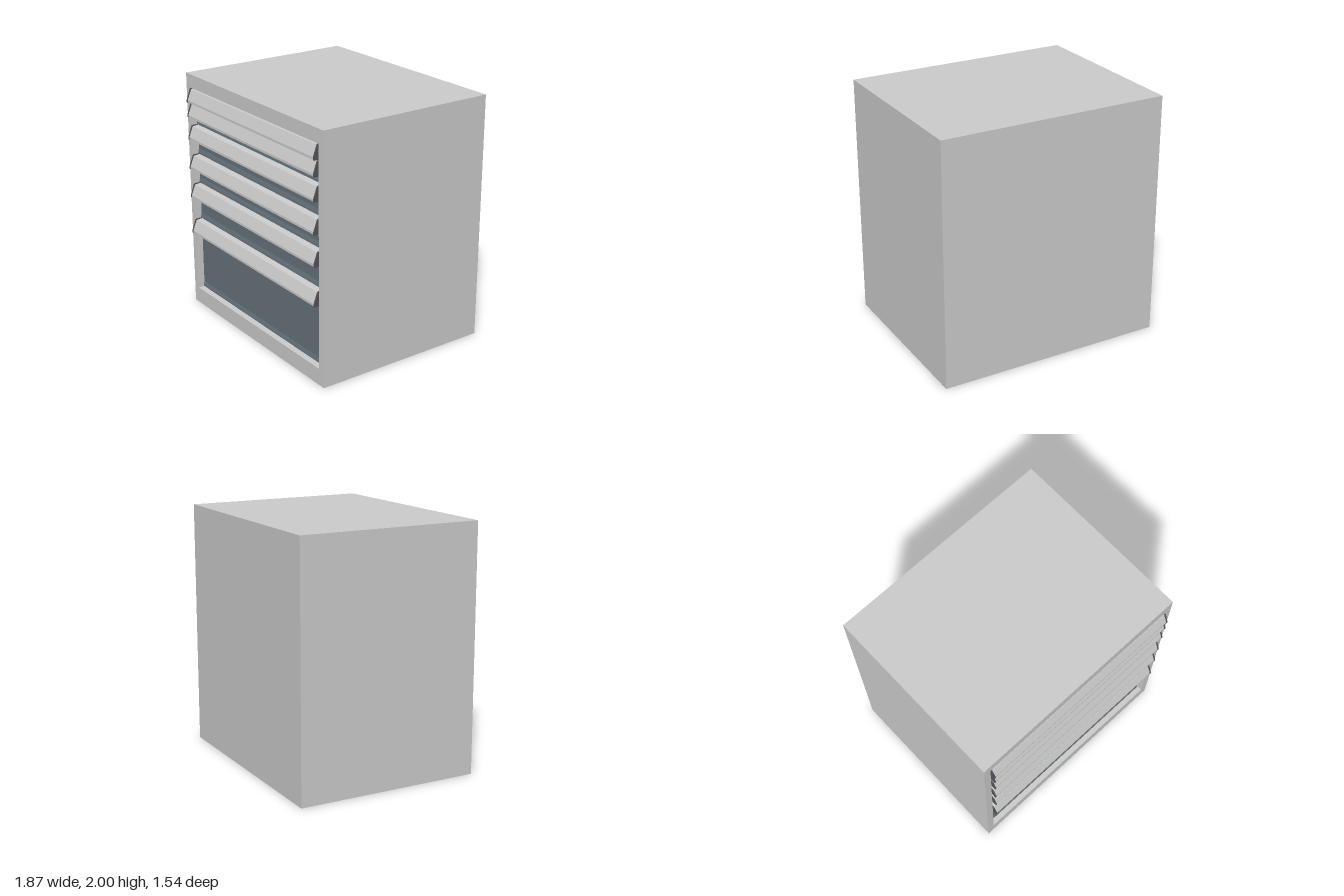
import * as THREE from 'three';

const mat = (color) => new THREE.MeshStandardMaterial({ color, flatShading: true });
const bodyMat = mat(0xcccccc);
const drawerMat = mat(0x66727b);
const pullMat = mat(0xdedede);
const capMat = mat(0x55555a);

// Extrudes a [z, y] profile along x, centred on the given x
function extrudeX(points, width, x = 0) {
  const shape = new THREE.Shape(points.map(([z, y]) => new THREE.Vector2(z, y)));
  const geo = new THREE.ExtrudeGeometry(shape, { depth: width, bevelEnabled: false });
  geo.rotateY(-Math.PI / 2);
  geo.translate(x + width / 2, 0, 0);
  return geo;
}

function add(parent, name, geometry, material) {
  const mesh = new THREE.Mesh(geometry, material);
  mesh.name = name;
  parent.add(mesh);
  return mesh;
}

function rectangle(Type, x0, y0, x1, y1) {
  const r = new Type();
  r.moveTo(x0, y0);
  r.lineTo(x1, y0);
  r.lineTo(x1, y1);
  r.lineTo(x0, y1);
  r.closePath();
  return r;
}

export function createModel() {
  const cabinet = new THREE.Group();
  cabinet.name = 'drawerCabinet';

  const halfW = 0.935, back = -0.77, front = 0.73, face = 0.68, recess = 0.66;

  // Solid cabinet body behind the drawers
  const core = new THREE.BoxGeometry(halfW * 2, 2, recess - back);
  add(cabinet, 'cabinetBody', core, bodyMat).position.set(0, 1, (recess + back) / 2);

  // Front frame around the recessed drawer opening
  const frame = rectangle(THREE.Shape, -halfW, 0, halfW, 2);
  frame.holes.push(rectangle(THREE.Path, -0.875, 0.135, 0.875, 1.89));
  const frameGeo = new THREE.ExtrudeGeometry(frame, { depth: front - recess, bevelEnabled: false });
  add(cabinet, 'frontFrame', frameGeo, bodyMat).position.z = recess;

  // Bent sheet pull, open underneath, and the solid outline of its end caps
  const pullProfile = [
    [face, 0.113], [0.732, 0.107], [0.766, 0.022], [0.766, 0.004],
    [0.758, 0.004], [0.758, 0.02], [0.727, 0.098], [face, 0.104],
  ];
  const capProfile = [
    [face, 0.117], [0.732, 0.117], [0.738, 0.112], [0.77, 0.024],
    [0.77, 0.004], [0.766, 0], [face, 0],
  ];

  // Drawers from top to bottom: [bottom, top]
  const drawers = [
    [1.78, 1.885], [1.585, 1.762], [1.335, 1.575],
    [1.085, 1.325], [0.772, 1.075], [0.145, 0.762],
  ];
  drawers.forEach(([y0, y1]) => {
    const drawer = new THREE.Group();
    drawer.name = 'drawer';
    cabinet.add(drawer);

    // Front panel with a slightly flared lower edge
    const panel = [
      [recess, y0], [face + 0.008, y0], [face + 0.008, y0 + 0.008],
      [face, y0 + 0.04], [face, y1], [recess, y1],
    ];
    add(drawer, 'drawerFront', extrudeX(panel, 1.73), drawerMat);

    // Full-width pull with a dark cap on each end
    const pullY = y1 - 0.113;
    add(drawer, 'drawerPull', extrudeX(pullProfile, 1.73), pullMat).position.y = pullY;
    for (const side of [-1, 1]) {
      add(drawer, 'pullEndCap', extrudeX(capProfile, 0.01, side * 0.868), capMat).position.y = pullY;
    }
  });

  return cabinet;
}
